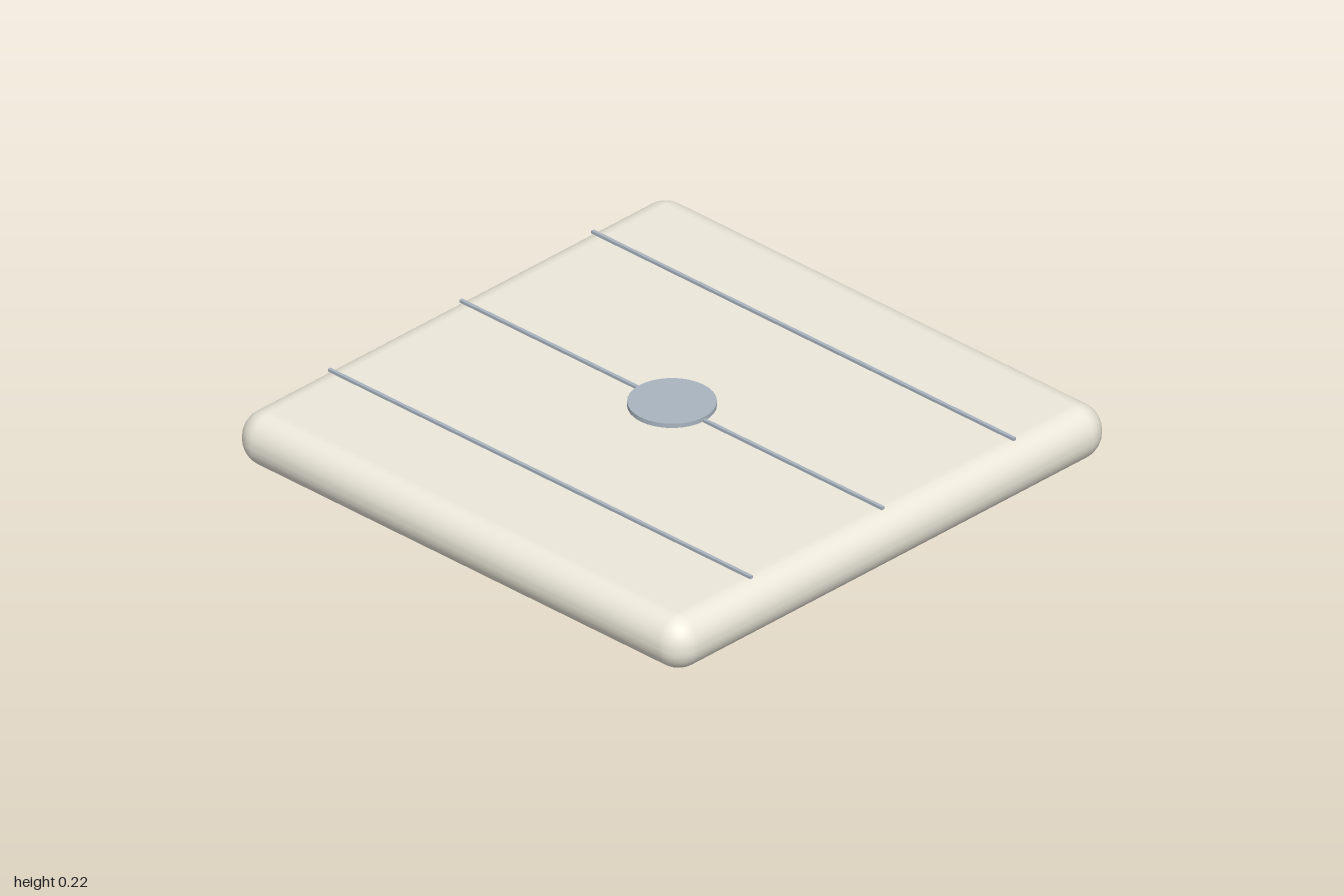
import * as THREE from 'three';
import { RoundedBoxGeometry } from 'three/addons/geometries/RoundedBoxGeometry.js';

export function createModel() {
  const group = new THREE.Group();
  const cream = new THREE.MeshStandardMaterial({ color: 0xece8da });
  const steel = new THREE.MeshStandardMaterial({ color: 0xa9b4bf });

  const add = (name, geometry, material, x, y, z) => {
    const mesh = new THREE.Mesh(geometry, material);
    mesh.name = name;
    mesh.position.set(x, y, z);
    group.add(mesh);
  };

  // Slab with softly rounded edges
  const height = 0.194;
  add('slab', new RoundedBoxGeometry(2, height, 2, 4, 0.094), cream, 0, height / 2, 0);

  // Three thin seam strips running front to back, just above the slab
  const strip = new THREE.BoxGeometry(0.012, 0.01, 1.88);
  for (const [name, x] of [['rightSeam', -0.605], ['middleSeam', 0], ['leftSeam', 0.605]]) {
    add(name, strip, steel, x, 0.207, 0);
  }

  // Flat central disc
  add('centerDisc', new THREE.CylinderGeometry(0.144, 0.144, 0.016, 32), steel, 0, 0.212, 0);

  return group;
}
